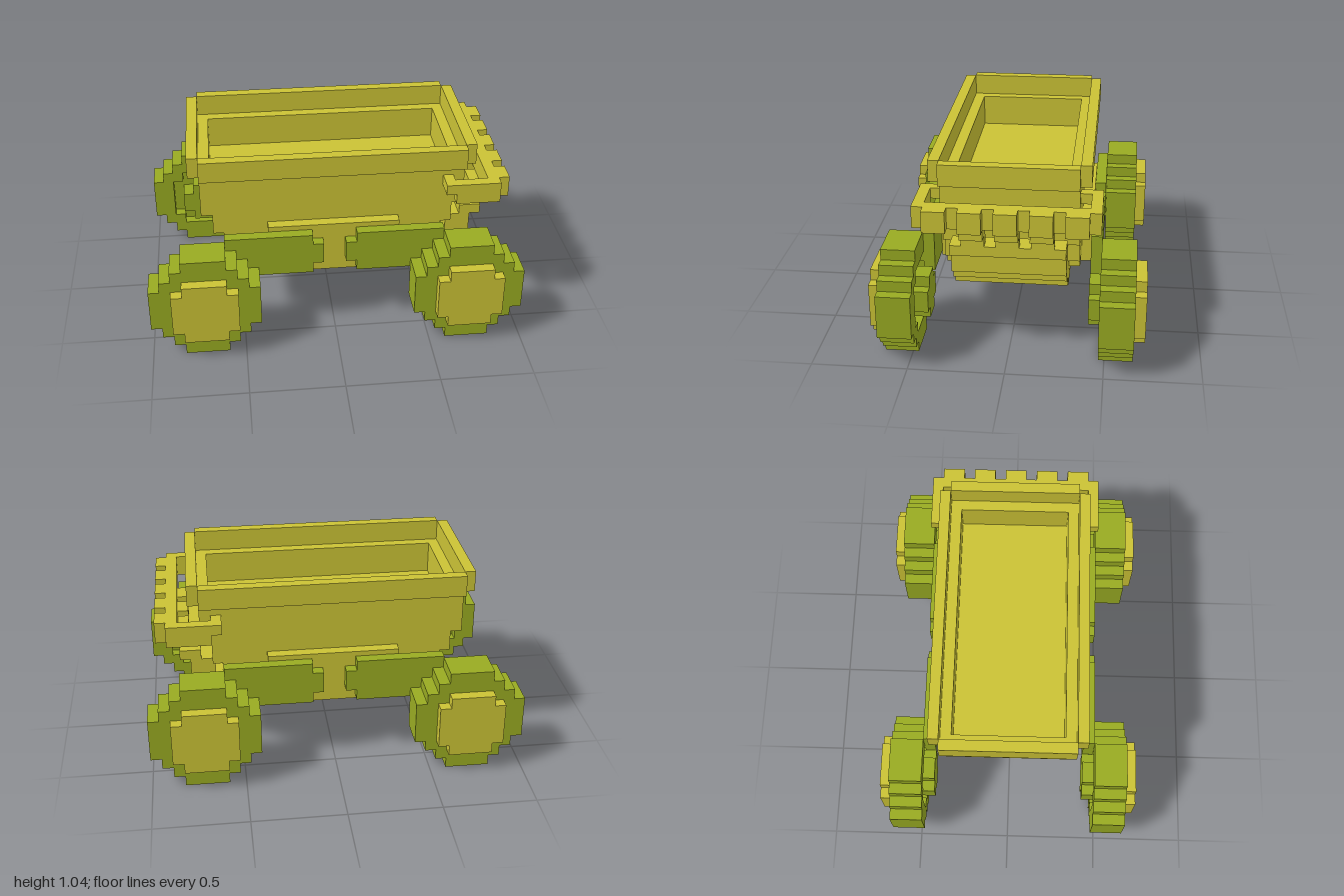
import * as THREE from 'three';

const U = 1 / 17; // block size

export function createModel() {
  const model = new THREE.Group();
  const yellow = new THREE.MeshStandardMaterial({ color: 0xcac235 });
  yellow.name = 'yellow';
  const green = new THREE.MeshStandardMaterial({ color: 0x98aa22 });
  green.name = 'green';

  // Box given by its min and max on each axis
  function box(name, mat, x0, x1, y0, y1, z0, z1, parent = model) {
    const mesh = new THREE.Mesh(new THREE.BoxGeometry(x1 - x0, y1 - y0, z1 - z0), mat);
    mesh.position.set((x0 + x1) / 2, (y0 + y1) / 2, (z0 + z1) / 2);
    mesh.name = name;
    parent.add(mesh);
    return mesh;
  }

  // Blocky round outline: first-quadrant corners, stepping from the right to the top
  function outline(corners, Type = THREE.Shape) {
    const pts = [];
    const add = (sx, sy, list) => list.forEach(([x, y]) => pts.push(new THREE.Vector2(sx * x * U, sy * y * U)));
    const back = [...corners].reverse();
    add(1, 1, corners);
    add(-1, 1, back);
    add(-1, -1, corners);
    add(1, -1, back);
    return new Type(pts);
  }
  const tyreSteps = [[5, 2], [4, 2], [4, 3], [3, 3], [3, 4], [2, 4], [2, 5]];
  const hubSteps = [[3, 2], [2, 2], [2, 3]];
  const knobSteps = [[2, 1], [1, 1], [1, 2]];

  function slab(name, mat, shape, z0, z1, parent) {
    const geo = new THREE.ExtrudeGeometry(shape, { depth: z1 - z0, bevelEnabled: false });
    geo.translate(0, 0, z0);
    const mesh = new THREE.Mesh(geo, mat);
    mesh.name = name;
    parent.add(mesh);
  }

  // Wheels and suspension arms, one at each corner
  for (const sx of [-1, 1]) {
    for (const sz of [-1, 1]) {
      const wheel = new THREE.Group();
      wheel.name = 'wheel';
      const ring = outline(tyreSteps);
      ring.holes.push(outline(hubSteps, THREE.Path));
      slab('tyre', green, outline(tyreSteps), 0.53, 0.648, wheel);
      slab('tyreInnerRing', green, ring, 0.47, 0.53, wheel);
      slab('hub', yellow, outline(hubSteps), 0.648, 0.706, wheel);
      slab('axleKnob', green, outline(knobSteps), 0.412, 0.53, wheel);
      wheel.position.set(sx * 12 * U, 5 * U, 0);
      if (sz < 0) wheel.rotation.y = Math.PI;
      model.add(wheel);

      const z = sz * 0.441, h = U / 2;
      const span = (a, b) => (sx > 0 ? [a, b] : [-b, -a]);
      box('suspensionArm', green, ...span(0.118, 0.59), 0.36, 0.597, z - h, z + h);
      box('suspensionArmTip', green, ...span(0.06, 0.118), 0.42, 0.54, z - h, z + h);
    }
  }

  // Stepped hull below the cargo floor
  const hull = [[0.53, 0.39, 0.45], [0.59, 0.45, 0.57], [0.645, 0.57, 0.685], [0.705, 0.685, 0.745]];
  for (const [x, y0, y1] of hull) box('hull', yellow, -x, x, y0, y1, -0.355, 0.355);
  box('chassis', yellow, -0.353, 0.353, 0.335, 0.625, -0.412, 0.412);

  // Open cargo tub walls and its overhanging rim
  for (const s of [-1, 1]) {
    const span = (a, b) => (s > 0 ? [a, b] : [-b, -a]);
    box('tubSide', yellow, -0.705, 0.705, 0.745, 0.92, ...span(0.297, 0.355));
    box('tubEnd', yellow, ...span(0.648, 0.705), 0.745, 0.92, -0.297, 0.297);
    box('rimSide', yellow, -0.705, 0.705, 0.92, 1.036, ...span(0.355, 0.412));
    box('rimEnd', yellow, ...span(0.705, 0.763), 0.92, 1.036, -0.355, 0.355);
  }

  // Stepped skid grille curling up under the +x end
  const skid = [
    [0.353, 0.53, 0.275, 0.335], [0.47, 0.65, 0.335, 0.39], [0.53, 0.705, 0.39, 0.45],
    [0.63, 0.763, 0.45, 0.57], [0.705, 0.82, 0.57, 0.625],
  ];
  for (const [x0, x1, y0, y1] of skid) box('skidGrille', yellow, x0, x1, y0, y1, -0.295, 0.295);
  for (const z of [-3, 0, 3]) {
    box('grilleRib', yellow, 0.763, 0.82, 0.625, 0.745, (z - 1) * U, (z + 1) * U);
    box('grilleRibTop', yellow, 0.82, 0.88, 0.685, 0.745, (z - 1) * U, (z + 1) * U);
  }

  // Toothed bumper bar with side arms
  box('bumperBar', yellow, 0.82, 0.88, 0.745, 0.86, -0.47, 0.47);
  for (const z of [-6, -3, 0, 3, 6]) {
    box('bumperTooth', yellow, 0.88, 0.937, 0.745, 0.86, (z - 1) * U, (z + 1) * U);
  }
  for (const s of [-1, 1]) {
    const span = (a, b) => (s > 0 ? [a, b] : [-b, -a]);
    box('bumperArm', yellow, 0.645, 0.82, 0.745, 0.86, ...span(0.412, 0.47));
    box('bumperArmEnd', yellow, 0.59, 0.645, 0.803, 0.86, ...span(0.355, 0.47));
  }
  return model;
}
